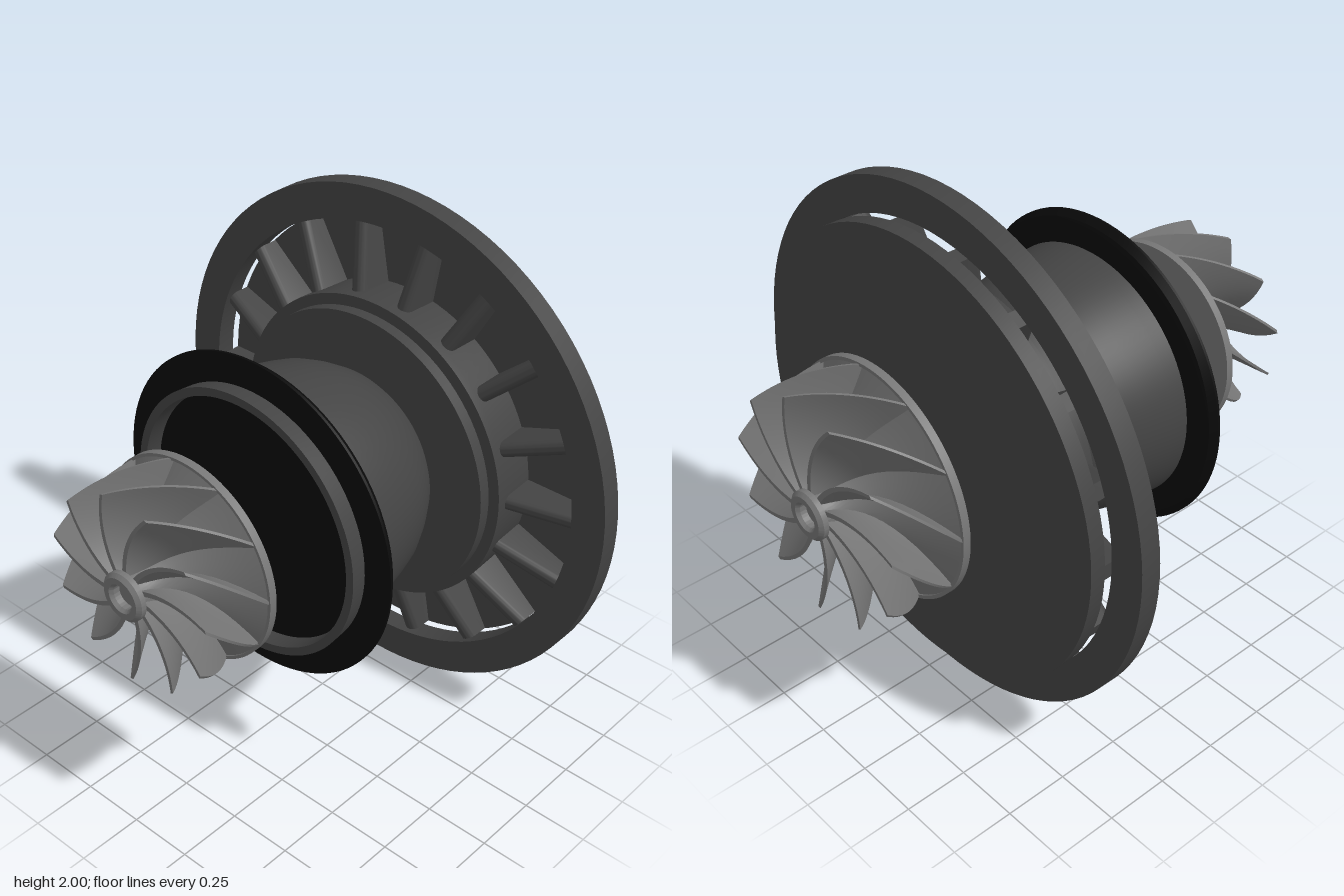
import * as THREE from 'three';
import { toCreasedNormals } from 'three/addons/utils/BufferGeometryUtils.js';

const casing = new THREE.MeshStandardMaterial({ color: 0x444444 });
const wheelMetal = new THREE.MeshStandardMaterial({ color: 0x777777 });
const black = new THREE.MeshStandardMaterial({ color: 0x0a0a0a });

function part(name, geometry, material, parent) {
  const mesh = new THREE.Mesh(geometry, material);
  mesh.name = name;
  parent.add(mesh);
  return mesh;
}

// Turned part about the z axis; profile points are [radius, z], anticlockwise
function turned(name, profile, material, parent, crease = 0.5) {
  const points = profile.map(([r, z]) => new THREE.Vector2(r, z));
  const geometry = new THREE.LatheGeometry(points, 96).rotateX(Math.PI / 2);
  return part(name, toCreasedNormals(geometry, crease), material, parent);
}

// Tapered rib with a rounded front, running outward along x from the hub
function ribGeometry() {
  const inner = 0.59, length = 0.272, half = 0.03;
  const section = new THREE.Shape();
  section.moveTo(-half, 0);
  section.lineTo(half, 0);
  section.lineTo(half, 0.02);
  section.absarc(0, 0.02, half, 0, Math.PI, false);
  section.lineTo(-half, 0);
  const geometry = new THREE.ExtrudeGeometry(section, { depth: length, bevelEnabled: false, curveSegments: 8 });
  const p = geometry.attributes.position;
  for (let i = 0; i < p.count; i++) {
    const lift = 0.107 - 0.065 * (p.getZ(i) / length);
    if (p.getY(i) > 0.01) p.setY(i, p.getY(i) + lift);
  }
  geometry.applyMatrix4(new THREE.Matrix4().makeBasis(
    new THREE.Vector3(0, 1, 0), new THREE.Vector3(0, 0, 1), new THREE.Vector3(1, 0, 0)));
  geometry.translate(inner, 0, -0.443);
  return toCreasedNormals(geometry, 0.6);
}

const HUB = 0.075, PLATE = 0.675, NOSE = 0.955;
const hubRadius = (v, R) => HUB + (R * 0.97 - HUB) * Math.pow(1 - v, 2.3);

// Swept blade: a box wrapped between the flared hub and the outer rim
function bladeGeometry(R) {
  const geometry = new THREE.BoxGeometry(1, 1, 1, 10, 1, 14);
  const p = geometry.attributes.position;
  for (let i = 0; i < p.count; i++) {
    const u = p.getX(i) + 0.5, v = p.getZ(i) + 0.5;
    const root = hubRadius(v, R) - 0.008;
    const tip = R * (0.985 - 0.035 * v * v);
    const r = root + (tip - root) * u;
    const thickness = 0.02 - 0.007 * u;
    const angle = 0.65 * v + 0.55 * v * (1 - r / R) + p.getY(i) * thickness / r;
    p.setXYZ(i, r * Math.cos(angle), r * Math.sin(angle), PLATE + v * (NOSE - PLATE));
  }
  geometry.computeVertexNormals();
  return geometry;
}

// Bladed wheel with its nose towards +z
function wheel(name, R, backHub, blades) {
  const group = new THREE.Group();
  group.name = name;
  const flare = [];
  for (let i = 0; i <= 14; i++) {
    const v = i / 14;
    flare.push([hubRadius(v, R), PLATE + v * (NOSE - PLATE)]);
  }
  turned('wheelHub', [
    [0, 0.635], [backHub - 0.015, 0.635], [backHub, 0.645], [backHub, 0.652],
    [R, 0.652], [R, 0.682], [R * 0.97, 0.682], ...flare,
    [0.092, 0.955], [0.092, 0.975], [0.078, 0.988], [0.055, 0.988], [0.045, 0.975],
    [0.045, 0.95], [0, 0.95],
  ], wheelMetal, group);
  const geometry = bladeGeometry(R);
  for (let i = 0; i < blades; i++) {
    part('blade', geometry, wheelMetal, group).rotation.z = (i / blades) * Math.PI * 2;
  }
  return group;
}

export function createModel() {
  const model = new THREE.Group();
  model.name = 'turbochargerCore';
  const core = new THREE.Group();
  core.name = 'rotorAndHousing';
  core.position.y = 1;
  model.add(core);

  // Mounting plate: outer ring, rear disc and stepped hub
  turned('outerRing', [[0.864, -0.41], [1, -0.41], [1, -0.33], [0.864, -0.33], [0.864, -0.41]], casing, core);
  turned('rearDisc', [[0, -0.5], [0.864, -0.5], [0.864, -0.44], [0, -0.44]], casing, core);
  turned('plateHub', [[0.6, -0.445], [0.61, -0.28], [0.61, -0.252], [0, -0.252]], casing, core);

  // Radial ribs joining the hub, disc and ring
  const rib = ribGeometry();
  for (let i = 0; i < 18; i++) {
    part('rib', rib, casing, core).rotation.z = (i / 18) * Math.PI * 2;
  }

  // Bell housing with its rear flange and raised front lip
  turned('housingNeck', [[0.5, -0.26], [0.5, -0.24]], casing, core);
  turned('housingFlange', [[0, -0.245], [0.57, -0.245], [0.57, -0.2], [0, -0.2]], casing, core);
  turned('bellHousing', [
    [0.33, -0.205], [0.365, -0.17], [0.41, -0.1], [0.445, -0.03], [0.465, 0.04], [0.485, 0.13],
    [0.502, 0.25], [0.517, 0.42], [0.485, 0.42], [0.48, 0.4], [0.48, 0.33],
  ], casing, core);

  // Black heat shield: dished rim and the disc closing the bell
  turned('shieldRim', [
    [0.49, 0.31], [0.58, 0.31], [0.605, 0.32], [0.625, 0.345], [0.625, 0.355], [0.49, 0.355],
  ], black, core);
  turned('shieldDisc', [[0.482, 0.34], [0.482, 0.355], [0, 0.355]], black, core);

  // Bladed wheels at the two ends, facing outward
  core.add(wheel('frontWheel', 0.388, 0.11, 11));
  const rear = wheel('rearWheel', 0.455, 0.13, 11);
  rear.rotation.y = Math.PI;
  core.add(rear);

  return model;
}
